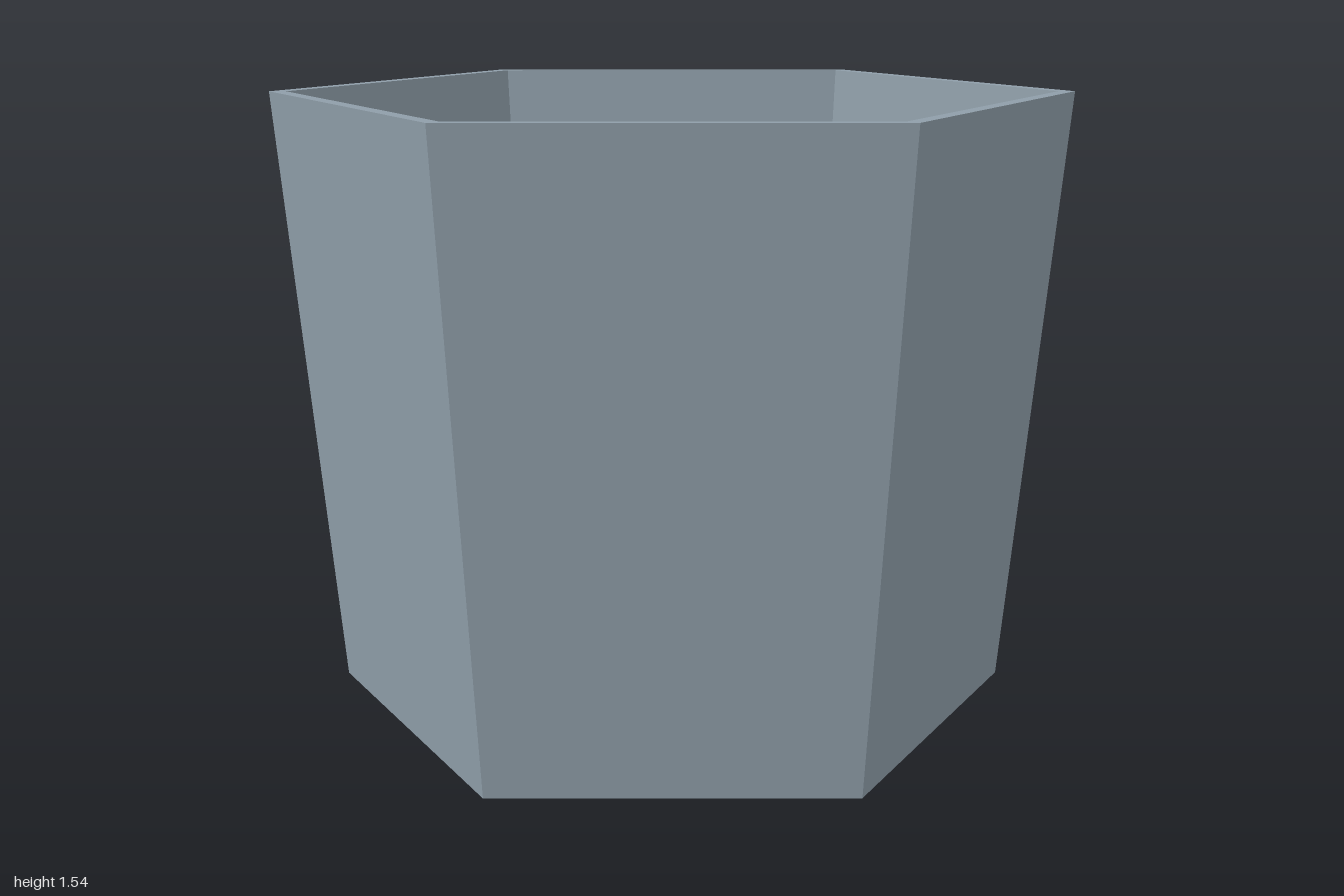
import * as THREE from 'three';

const HEIGHT = 1.54, FLOOR = 0.04, HOLE = 0.08;
const BASE_R = 0.865, RIM_R = 1, INNER_BASE_R = 0.825, INNER_RIM_R = 0.958;

// Surface swept around y; upward profiles face out, downward ones face in
function sweep(points, sides) {
  return new THREE.LatheGeometry(points.map(([r, y]) => new THREE.Vector2(r, y)), sides);
}

// Horizontal hexagon with a round drain hole, facing up or down
function hexPlate(radius, y, up) {
  const corners = [];
  for (let i = 0; i < 6; i++) {
    const a = i * Math.PI / 3;
    corners.push(new THREE.Vector2(radius * Math.sin(a), radius * Math.cos(a)));
  }
  const shape = new THREE.Shape(corners);
  shape.holes.push(new THREE.Path().absarc(0, 0, HOLE, 0, Math.PI * 2, true));
  return new THREE.ShapeGeometry(shape, 24)
    .rotateX(up ? -Math.PI / 2 : Math.PI / 2)
    .translate(0, y, 0);
}

export function createModel() {
  const group = new THREE.Group();
  group.name = 'hexagonalPlanter';
  const clay = new THREE.MeshStandardMaterial({ color: 0x8f9ea9 });
  clay.name = 'blue grey';

  const add = (name, geometry) => {
    const mesh = new THREE.Mesh(geometry, clay);
    mesh.name = name;
    group.add(mesh);
  };

  // Tapered six-sided wall: outside, rim and inside, with crisp facets
  const wall = sweep([
    [BASE_R, 0], [RIM_R, HEIGHT], [INNER_RIM_R, HEIGHT], [INNER_BASE_R, FLOOR],
  ], 6).toNonIndexed();
  wall.computeVertexNormals();
  add('wall', wall);

  // Floor, underside and the drain hole through them
  add('floor', hexPlate(INNER_BASE_R, FLOOR, true));
  add('underside', hexPlate(BASE_R, 0, false));
  add('drainHole', sweep([[HOLE, FLOOR], [HOLE, 0]], 48));

  return group;
}
